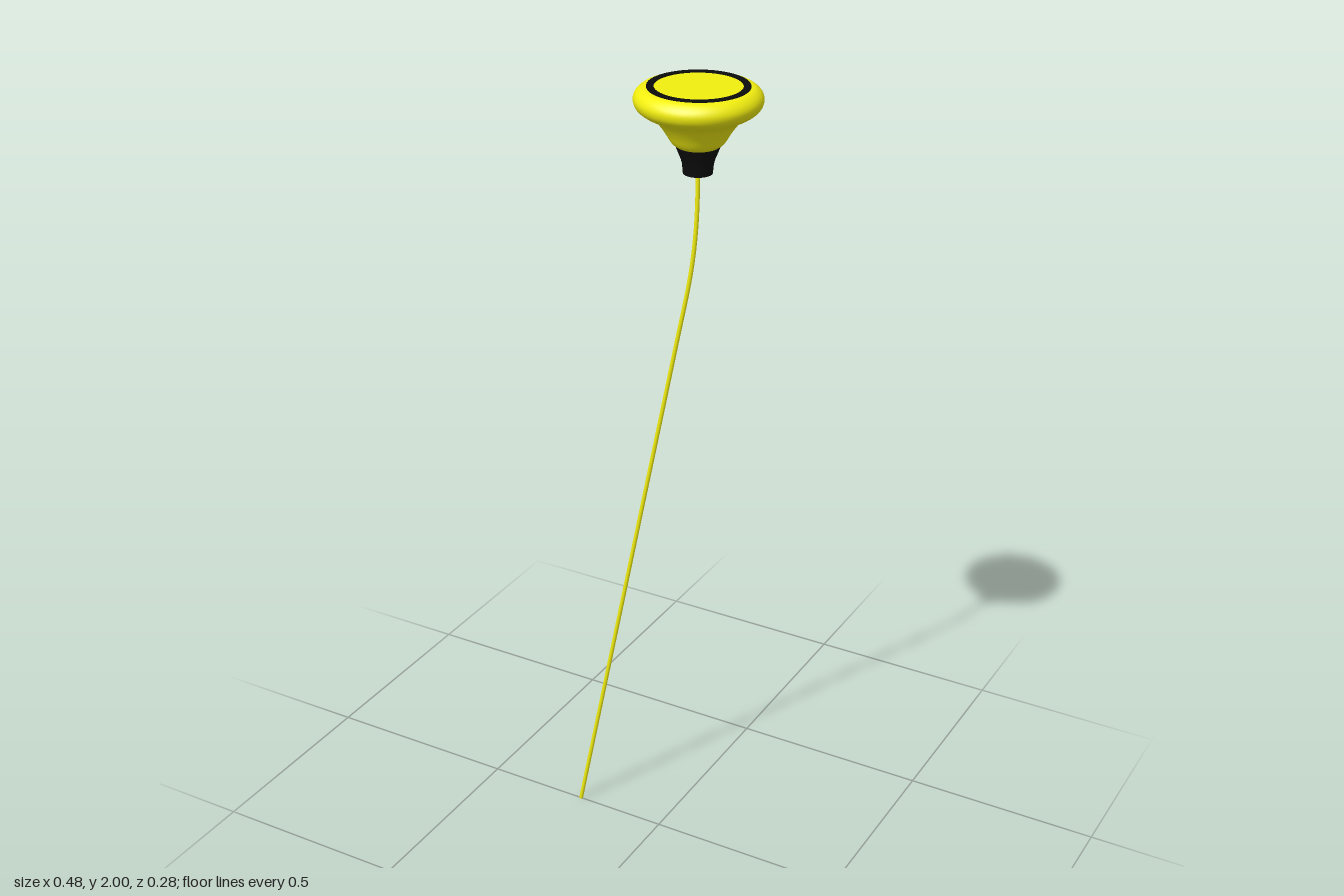
import * as THREE from 'three';

const yellow = new THREE.MeshStandardMaterial({ color: 0xf2ee10 });
const black = new THREE.MeshStandardMaterial({ color: 0x0c0c0c });
const HEAD_X = 0.098;
const STEM_R = 0.005;

const points = (list) => list.map(([x, y]) => new THREE.Vector2(x, y));

export function createModel() {
  const model = new THREE.Group();
  const add = (name, geometry, material, x = 0, y = 0) => {
    const mesh = new THREE.Mesh(geometry, material);
    mesh.name = name;
    mesh.position.set(x, y, 0);
    model.add(mesh);
    return mesh;
  };

  // Stem: a straight leaning rod that bends upright below the head
  const path = new THREE.CurvePath();
  const base = new THREE.Vector3(-0.236, 0.001, 0);
  const bendStart = new THREE.Vector3(0.05, 1.4, 0);
  const bendEnd = new THREE.Vector3(HEAD_X, 1.78, 0);
  path.add(new THREE.LineCurve3(base, bendStart));
  path.add(new THREE.CubicBezierCurve3(
    bendStart, new THREE.Vector3(0.077, 1.53, 0), new THREE.Vector3(HEAD_X, 1.61, 0), bendEnd));
  path.add(new THREE.LineCurve3(bendEnd, new THREE.Vector3(HEAD_X, 1.83, 0)));
  add('stem', new THREE.TubeGeometry(path, 80, STEM_R, 12), yellow);

  // Closed lower end of the stem
  const tip = add('stemTip', new THREE.CircleGeometry(STEM_R, 12), yellow, base.x, base.y);
  tip.lookAt(base.clone().multiplyScalar(2).sub(bendStart));

  // Knob: flared underside and rounded rim
  const flare = new THREE.SplineCurve(points([
    [0.048, 1.866], [0.06, 1.876], [0.076, 1.902], [0.096, 1.927], [0.122, 1.942],
    [0.137, 1.955], [0.142, 1.971], [0.137, 1.985], [0.125, 1.995], [0.112, 1.998],
  ]));
  add('knob', new THREE.LatheGeometry(flare.getPoints(40), 64), yellow, HEAD_X);

  // Flat top face with a dark inlaid ring
  const cap = add('topFace', new THREE.CircleGeometry(0.113, 64), yellow, HEAD_X, 1.998);
  cap.rotation.x = -Math.PI / 2;
  const ring = points([
    [0.113, 1.996], [0.113, 2], [0.113, 2], [0.097, 2], [0.097, 2], [0.097, 1.996],
  ]);
  add('topRing', new THREE.LatheGeometry(ring, 64), black, HEAD_X);

  // Dark collar joining the knob to the stem
  const collar = points([
    [0, 1.803], [0.033, 1.803], [0.033, 1.803], [0.035, 1.825], [0.038, 1.836],
    [0.05, 1.866], [0.05, 1.866], [0, 1.868],
  ]);
  add('collar', new THREE.LatheGeometry(collar, 48), black, HEAD_X);

  return model;
}
